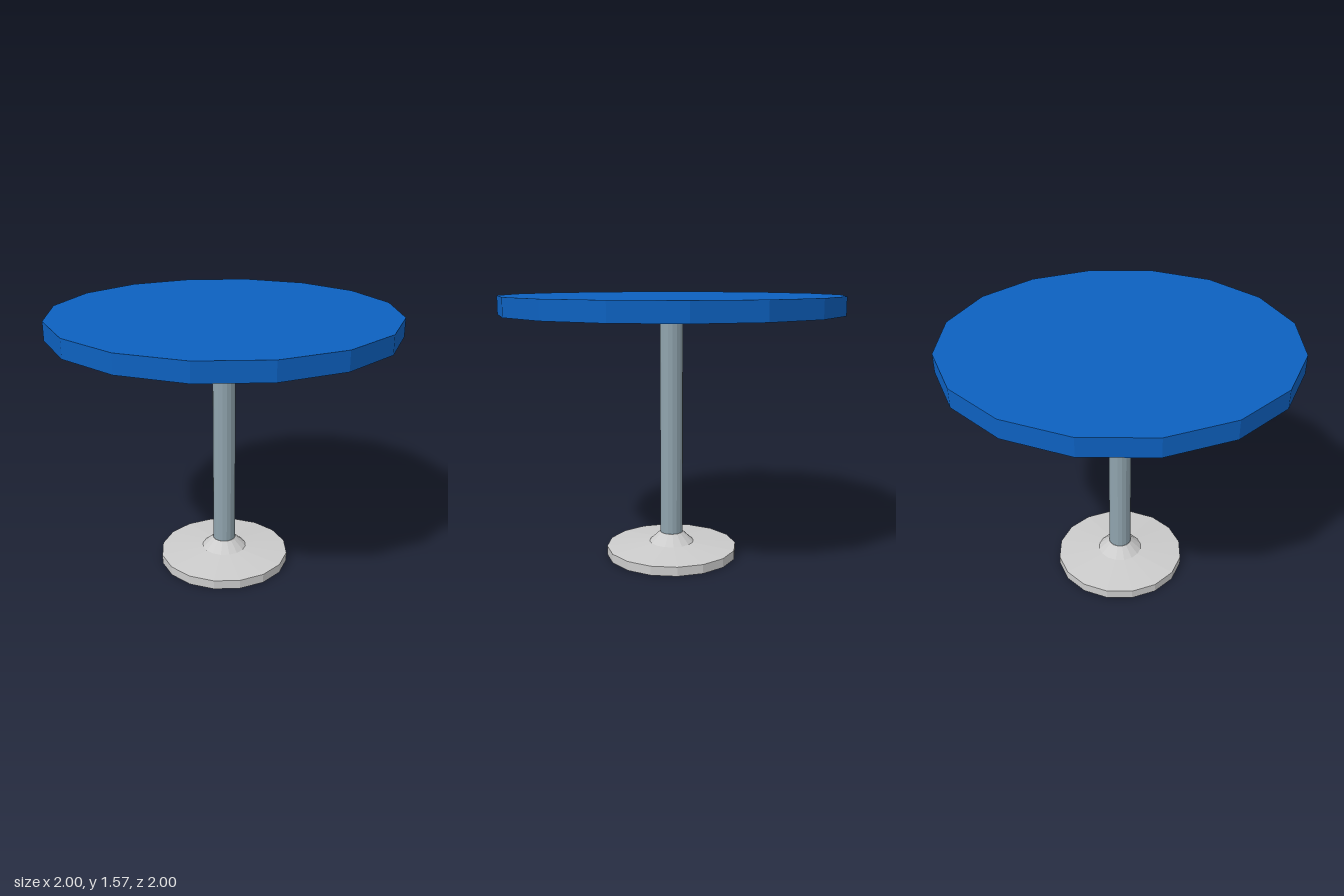
import * as THREE from 'three';

const SIDES = 16;

const blue = new THREE.MeshStandardMaterial({ color: 0x0d61c0, flatShading: true });
blue.name = 'blue top';
const steel = new THREE.MeshStandardMaterial({ color: 0x90a4ae, flatShading: true });
steel.name = 'grey blue steel';
const pale = new THREE.MeshStandardMaterial({ color: 0xcccccc, flatShading: true });
pale.name = 'pale grey';

// Turned part from [radius, height] pairs, listed bottom to top
function turned(name, profile, material) {
  const points = profile.map(([r, y]) => new THREE.Vector2(r, y));
  const mesh = new THREE.Mesh(new THREE.LatheGeometry(points, SIDES), material);
  mesh.name = name;
  return mesh;
}

export function createModel() {
  const table = new THREE.Group();
  table.name = 'roundTable';

  // Disc foot with a sloped collar around the pole
  table.add(turned('base', [[0, 0], [0.395, 0], [0.395, 0.055], [0.135, 0.08], [0.07, 0.14], [0, 0.14]], pale));

  // Central pole, ending inside the top
  const pole = new THREE.Mesh(new THREE.CylinderGeometry(0.068, 0.068, 1.33, SIDES, 1, true), steel);
  pole.name = 'pole';
  pole.position.y = 0.1 + 1.33 / 2;
  table.add(pole);

  // Table top with a shallow conical underside
  table.add(turned('tableTop', [[0, 1.42], [0.068, 1.422], [1, 1.463], [1, 1.57], [0, 1.57]], blue));

  return table;
}
